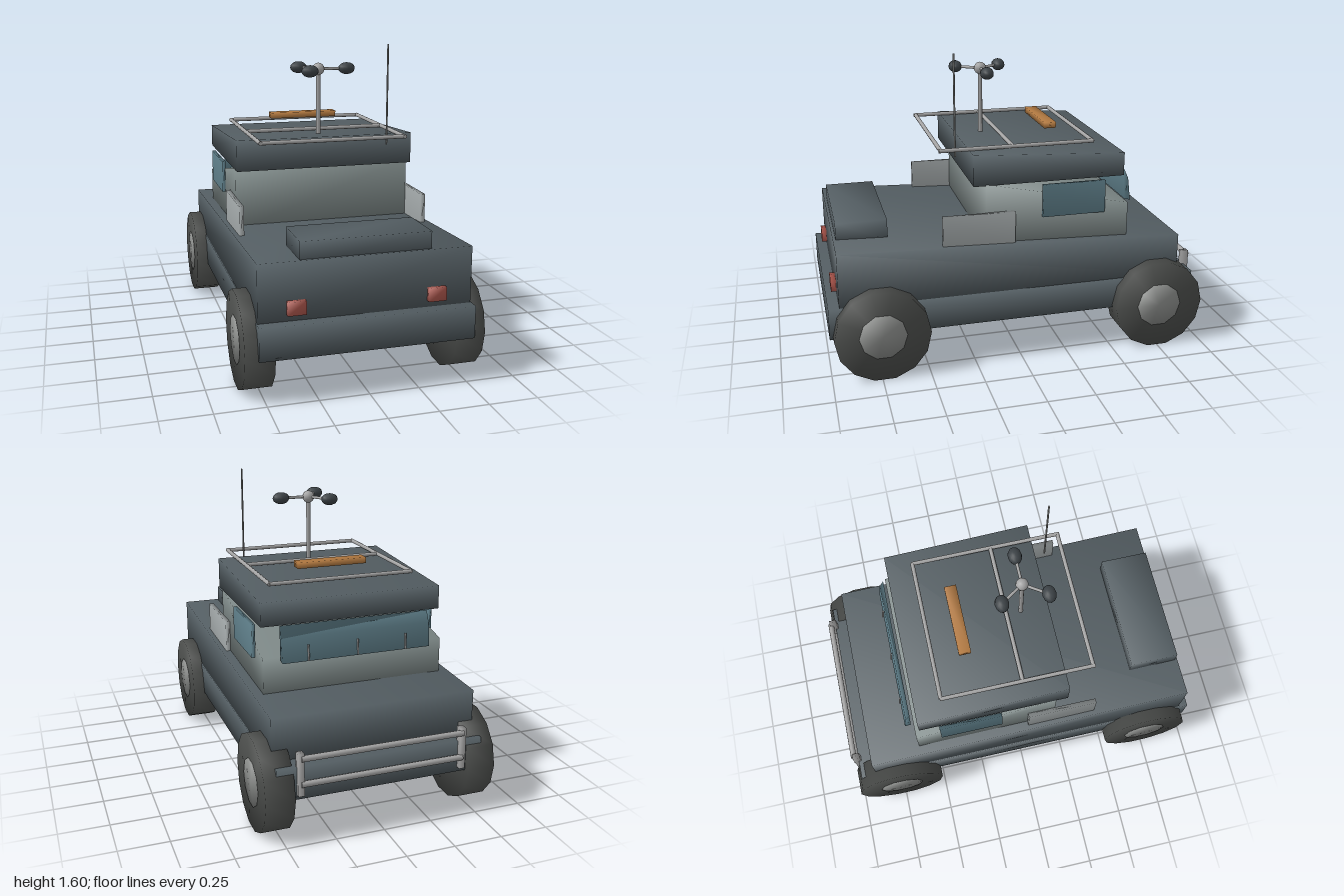
import * as THREE from 'three';
import { mergeVertices } from 'three/addons/utils/BufferGeometryUtils.js';

const mat = (color, side = THREE.FrontSide) => new THREE.MeshStandardMaterial({ color, side });
const M = {
  body: mat(0x535d62), cab: mat(0x7f8a89), panel: mat(0xa3a9aa), glass: mat(0x5f7f8a),
  tyre: mat(0x4a4c4a), hub: mat(0x8a8c8a), metal: mat(0xa5a5a5), dark: mat(0x3c4246),
  wood: mat(0xb07840), lamp: mat(0xb0584e),
};

// Share corners so the shading rolls softly over the edges
function soften(geo) {
  geo.deleteAttribute('uv');
  geo.deleteAttribute('normal');
  const merged = mergeVertices(geo, 1e-4);
  merged.computeVertexNormals();
  return merged;
}

export function createModel() {
  const root = new THREE.Group();

  function add(name, geo, material, x = 0, y = 0, z = 0, parent = root) {
    const mesh = new THREE.Mesh(geo, material);
    mesh.name = name;
    mesh.position.set(x, y, z);
    parent.add(mesh);
    return mesh;
  }

  // Side outline of [z, y] points, extruded across the width
  function slab(name, points, width, material, x = 0) {
    const shape = new THREE.Shape(points.map(([z, y]) => new THREE.Vector2(z, y)));
    const geo = new THREE.ExtrudeGeometry(shape, { depth: width, bevelEnabled: false });
    geo.rotateY(-Math.PI / 2).translate(width / 2, 0, 0);
    return add(name, soften(geo), material, x);
  }

  // Box given by its z and y ranges
  const block = (name, z0, z1, y0, y1, width, material, x = 0) =>
    slab(name, [[z0, y0], [z1, y0], [z1, y1], [z0, y1]], width, material, x);

  // Round bar between two points
  function rod(name, a, b, r, material = M.metal, parent = root) {
    const from = new THREE.Vector3(...a), to = new THREE.Vector3(...b);
    const dir = to.clone().sub(from);
    const mesh = add(name, new THREE.CylinderGeometry(r, r, dir.length(), 8), material, 0, 0, 0, parent);
    mesh.position.copy(from).add(to).multiplyScalar(0.5);
    mesh.quaternion.setFromUnitVectors(new THREE.Vector3(0, 1, 0), dir.normalize());
    return mesh;
  }

  // Hull, cab and roof
  block('chassis', -0.96, 1, 0.225, 0.39, 1.07, M.body);
  slab('upperBody', [[-0.87, 0.38], [0.945, 0.38], [0.945, 0.677], [-0.87, 0.608]], 1.06, M.body);
  slab('cab', [[-0.59, 0.6], [0.18, 0.62], [0.18, 0.96], [-0.59, 0.8]], 0.96, M.cab);
  slab('roof', [[-0.56, 0.953], [0.243, 0.953], [0.243, 1.117], [-0.56, 1.075]], 0.96, M.body);
  block('deckBox', 0.665, 0.93, 0.65, 0.763, 0.65, M.body);

  // Windscreen with small upright fittings
  slab('windscreen', [[-0.595, 0.963], [-0.605, 0.79], [-0.638, 0.782], [-0.622, 0.905]], 0.79, M.glass);
  for (const x of [-0.26, 0, 0.26])
    rod('windscreenFitting', [x, 0.785, -0.642], [x, 0.865, -0.632], 0.005);

  // Parts mirrored on both sides
  for (const s of [-1, 1]) {
    block('sideWindow', -0.455, -0.118, 0.765, 0.938, 0.02, M.glass, s * 0.487);
    block('sidePanel', 0.03, 0.408, 0.62, 0.81, 0.025, M.panel, s * 0.492);
    block('lamp', 0.94, 0.972, 0.423, 0.49, 0.09, M.lamp, s * 0.348);
    block('guardPost', -0.985, -0.945, 0.25, 0.465, 0.03, M.metal, s * 0.42);

    for (const z of [0.738, -0.75]) {
      const wheel = new THREE.Group();
      wheel.name = 'wheel';
      wheel.position.set(s * 0.525, 0.24, z);
      root.add(wheel);
      const drum = (r, w, n) => soften(new THREE.CylinderGeometry(r, r, w, n).rotateZ(Math.PI / 2));
      add('tyre', drum(0.245, 0.146, 14), M.tyre, 0, 0, 0, wheel);
      add('hub', drum(0.122, 0.15, 10), M.hub, 0, 0, 0, wheel);
    }
  }

  // Guard rails
  for (const y of [0.44, 0.31])
    rod('guardRail', [-0.42, y, -0.98], [0.42, y, -0.98], 0.016);

  // Roof rack and the plank above it
  const rackY = 1.125;
  for (const x of [-0.387, 0.387])
    rod('rackSide', [x, rackY, -0.42], [x, rackY, 0.4], 0.011);
  for (const z of [-0.415, 0.015, 0.39])
    rod('rackBar', [-0.387, rackY, z], [0.387, rackY, z], 0.011);
  block('plank', -0.277, -0.213, 1.153, 1.185, 0.38, M.wood);

  // Wind gauge: mast, hub and three cups
  const gauge = new THREE.Group();
  gauge.name = 'windGauge';
  gauge.position.set(0, 1.46, 0.095);
  root.add(gauge);
  rod('gaugeMast', [0, -0.38, 0], [0, 0, 0], 0.012, M.metal, gauge);
  add('gaugeHub', new THREE.SphereGeometry(0.033, 12, 8), M.metal, 0, 0, 0, gauge);
  for (let i = 0; i < 3; i++) {
    const a = (i * Math.PI * 2) / 3;
    const x = Math.cos(a) * 0.158, z = Math.sin(a) * 0.138;
    rod('gaugeArm', [0, 0, 0], [x, 0, z], 0.008, M.metal, gauge);
    add('gaugeCup', new THREE.SphereGeometry(1, 12, 8).scale(0.047, 0.032, 0.036), M.dark, x, 0, z, gauge);
  }

  // Whip antenna
  rod('antenna', [0.318, 1.07, 0.303], [0.318, 1.6, 0.303], 0.005, M.hub);

  return root;
}
